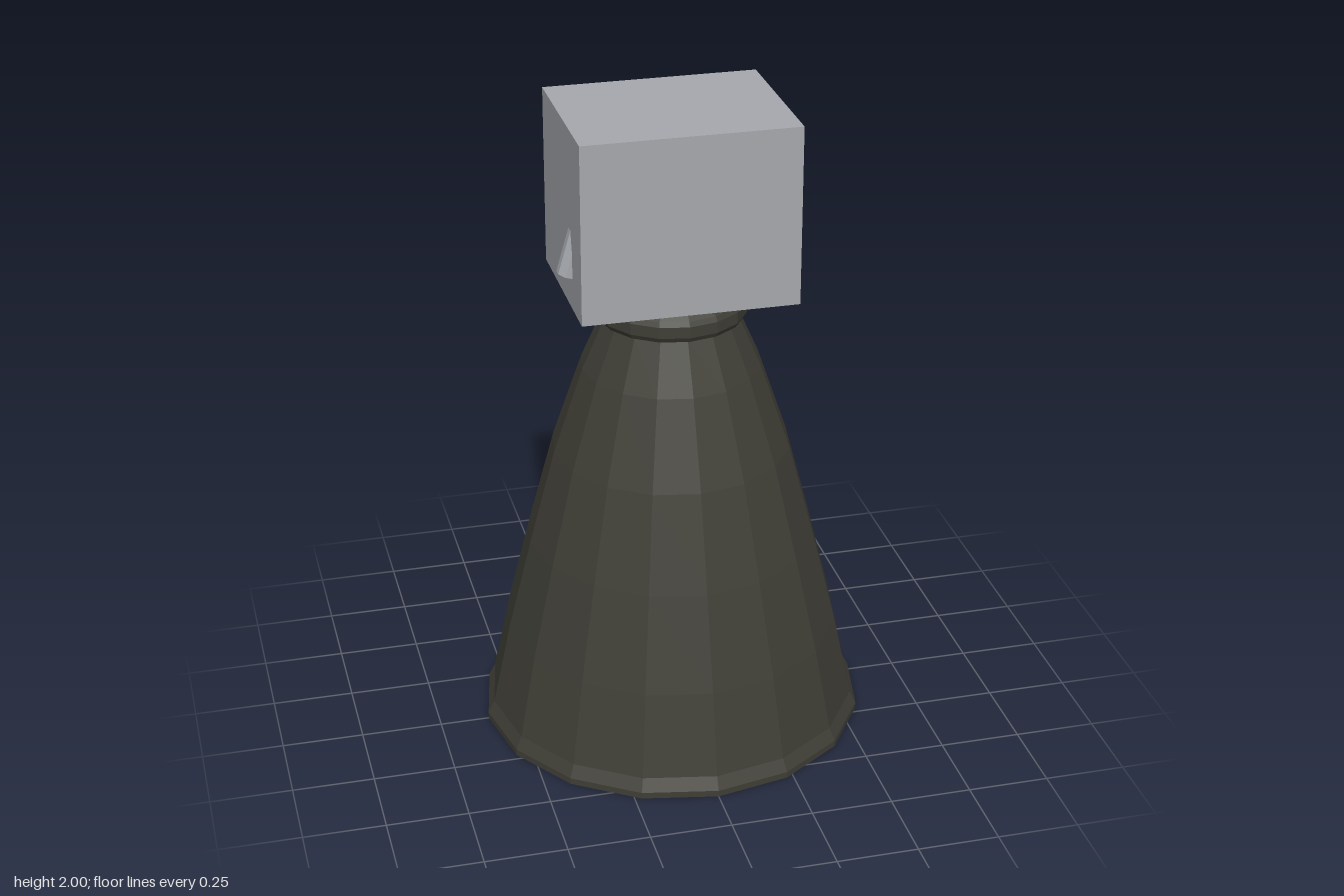
import * as THREE from 'three';

export function createModel() {
  const model = new THREE.Group();
  model.name = 'rocketEngine';

  const grey = new THREE.MeshStandardMaterial({ color: 0xa5a8ad });
  grey.name = 'light grey metal';
  grey.flatShading = true;
  const dark = new THREE.MeshStandardMaterial({ color: 0x3f3e36 });
  dark.name = 'dark nozzle metal';
  dark.flatShading = true;
  dark.side = THREE.DoubleSide;

  const add = (name, geometry, material) => {
    const mesh = new THREE.Mesh(geometry, material);
    mesh.name = name;
    model.add(mesh);
    return mesh;
  };
  const lathe = (points) =>
    new THREE.LatheGeometry(points.map(([r, y]) => new THREE.Vector2(r, y)), 16);

  // Hollow bell, open at the bottom, with a small flared lip
  add('nozzleBell', lathe([
    [0.597, 0], [0.597, 0.02], [0.577, 0.06], [0.522, 0.32], [0.447, 0.62],
    [0.367, 0.92], [0.275, 1.19], [0.205, 1.35],
  ]), dark);

  // Collar ring and the neck running up into the housing
  add('throatCollar', lathe([
    [0.205, 1.35], [0.222, 1.35], [0.23, 1.365], [0.23, 1.4], [0.222, 1.415], [0.18, 1.452],
  ]), dark);

  // Engine housing
  add('housing', new THREE.BoxGeometry(0.654, 0.55, 0.51), grey).position.set(0, 1.725, 0);

  // Small exhaust pipes leaning out of both sides
  const length = 0.18;
  const tilt = 0.28;
  for (const side of [-1, 1]) {
    const pipe = new THREE.CylinderGeometry(0.034, 0.034, length, 8);
    pipe.rotateY(Math.PI / 8);
    pipe.translate(0, length / 2, 0);
    const mesh = add(side > 0 ? 'leftExhaust' : 'rightExhaust', pipe, grey);
    mesh.position.set(side * 0.335, 1.55, 0.102);
    mesh.rotation.z = side * tilt;
  }
  return model;
}
